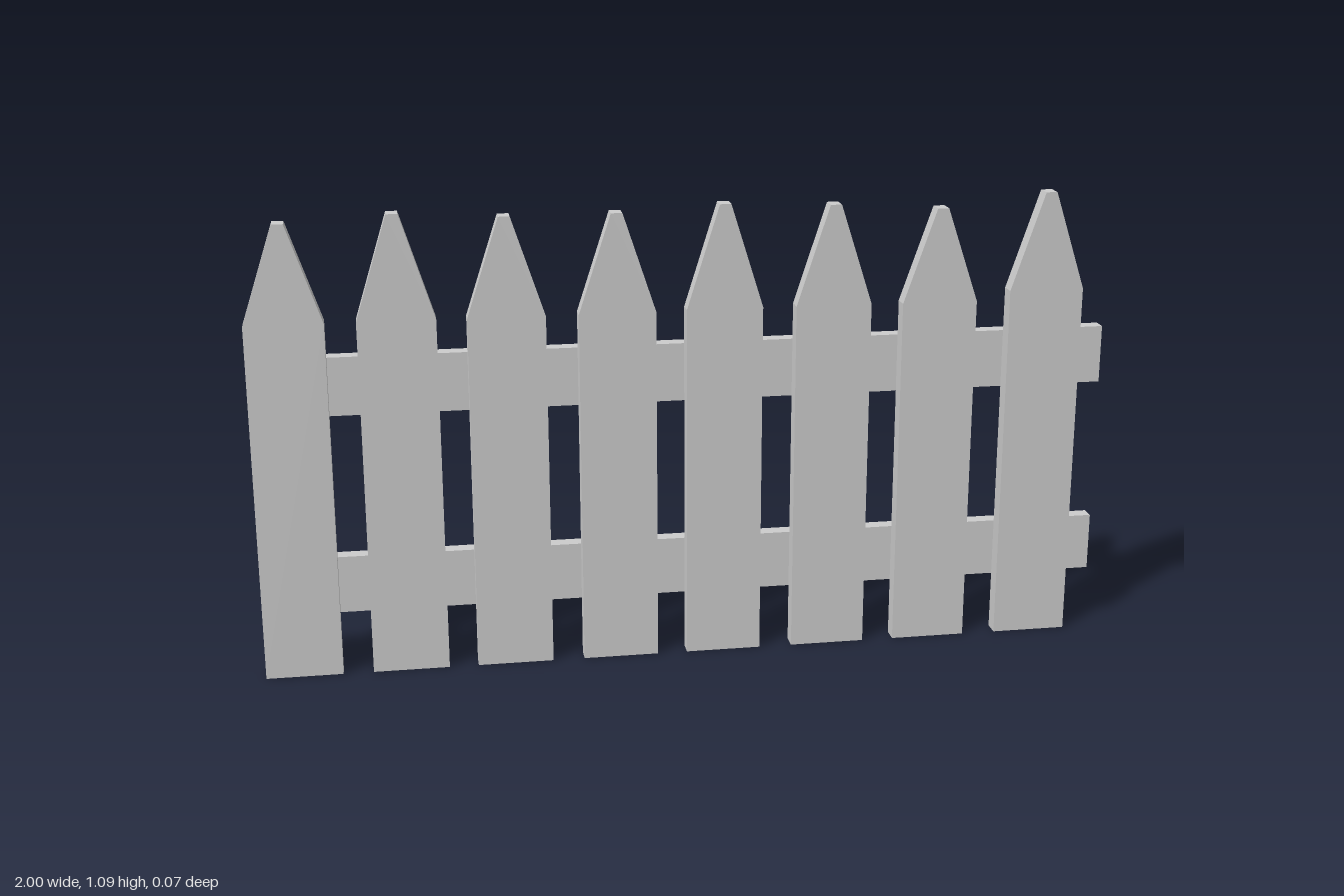
import * as THREE from 'three';

const material = new THREE.MeshStandardMaterial({ color: 0xcccccc, flatShading: true });

const PICKET_WIDTH = 0.177;
const TIP_WIDTH = 0.026;
const BACK = -0.037; // rear face of the rails
const JOINT = -0.002; // plane where pickets meet rails
const FRONT = 0.037; // front face of the pickets

// Board with tapered sides and a narrow flat tip
function picketGeometry(height, shoulder) {
  const w = PICKET_WIDTH / 2;
  const t = TIP_WIDTH / 2;
  const outline = new THREE.Shape([
    new THREE.Vector2(-w, 0),
    new THREE.Vector2(w, 0),
    new THREE.Vector2(w, shoulder),
    new THREE.Vector2(t, height),
    new THREE.Vector2(-t, height),
    new THREE.Vector2(-w, shoulder),
  ]);
  return new THREE.ExtrudeGeometry(outline, { depth: FRONT - JOINT, bevelEnabled: false });
}

export function createModel() {
  const fence = new THREE.Group();
  fence.name = 'picketFence';

  // Pickets, slightly uneven: centre x, height, shoulder height
  const pickets = [
    [-0.911, 1.068, 0.842],
    [-0.664, 1.083, 0.842],
    [-0.419, 1.07, 0.84],
    [-0.168, 1.07, 0.84],
    [0.079, 1.083, 0.842],
    [0.334, 1.074, 0.84],
    [0.586, 1.058, 0.837],
    [0.843, 1.088, 0.858],
  ];
  pickets.forEach(([x, height, shoulder], i) => {
    const picket = new THREE.Mesh(picketGeometry(height, shoulder), material);
    picket.name = `picket${i + 1}`;
    picket.position.set(x, 0, JOINT);
    fence.add(picket);
  });

  // Two horizontal rails behind the pickets
  for (const [name, y] of [['lowerRail', 0.208], ['upperRail', 0.686]]) {
    const rail = new THREE.Mesh(new THREE.BoxGeometry(2, 0.137, JOINT - BACK), material);
    rail.name = name;
    rail.position.set(0, y, (JOINT + BACK) / 2);
    fence.add(rail);
  }

  return fence;
}
